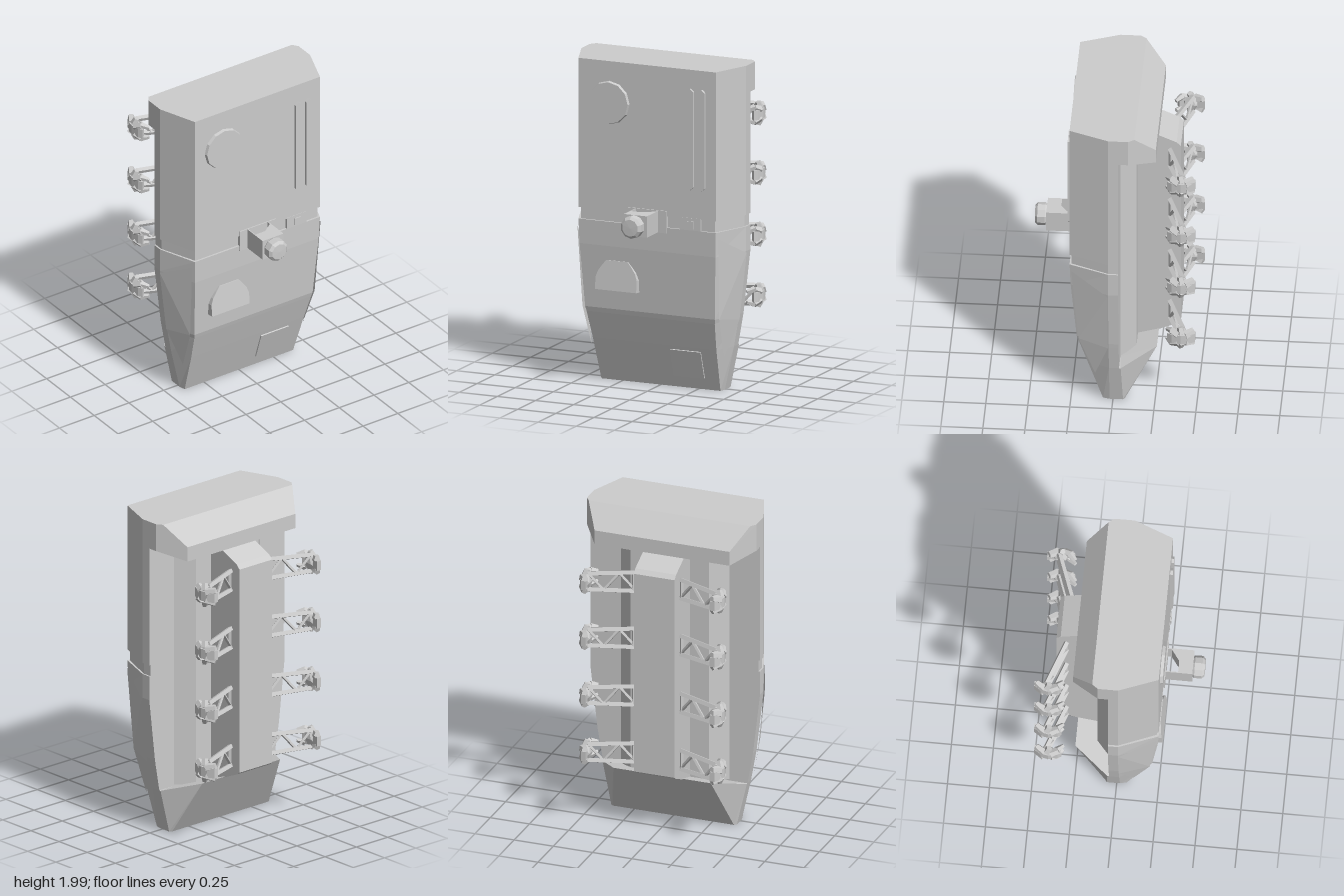
import * as THREE from 'three';

const grey = new THREE.MeshStandardMaterial({ color: 0xcccccc, flatShading: true });
grey.name = 'light grey';
const greySheet = new THREE.MeshStandardMaterial({ color: 0xcccccc, flatShading: true, side: THREE.DoubleSide });
greySheet.name = 'light grey sheet';

function add(parent, name, geometry, x = 0, y = 0, z = 0, material = grey) {
  const mesh = new THREE.Mesh(geometry, material);
  mesh.name = name;
  mesh.position.set(x, y, z);
  parent.add(mesh);
  return mesh;
}

function triangles(positions) {
  const g = new THREE.BufferGeometry();
  g.setAttribute('position', new THREE.Float32BufferAttribute(positions, 3));
  g.computeVertexNormals();
  return g;
}

// Straight bar between two points
function bar(parent, name, a, b, r0, r1 = r0, sides = 4) {
  const dir = b.clone().sub(a);
  const m = add(parent, name, new THREE.CylinderGeometry(r1, r0, dir.length(), sides));
  m.position.copy(a).addScaledVector(dir, 0.5);
  m.quaternion.setFromUnitVectors(new THREE.Vector3(0, 1, 0), dir.normalize());
  return m;
}

function polygon(points, depth) {
  const s = new THREE.Shape(points.map(([x, y]) => new THREE.Vector2(x, y)));
  return new THREE.ExtrudeGeometry(s, { depth, bevelEnabled: false });
}

// Upright prism from [x, z] plan points
function prism(plan, height) {
  const g = polygon(plan.map(([x, z]) => [x, -z]), height);
  g.rotateX(-Math.PI / 2);
  return g;
}

// Hull cross-sections: y, front x, front z, side x, side back z, back x, back z, back y
const sections = [
  [0.01, 0.39, 0.06, 0.40, -0.06, 0.385, -0.07],
  [0.28, 0.405, 0.15, 0.46, -0.05, 0.31, -0.255, 0.345],
  [0.28, 0.405, 0.15, 0.46, -0.04, 0.34, -0.04],
  [0.45, 0.42, 0.205, 0.49, -0.04, 0.34, -0.04],
  [0.48, 0.425, 0.214, 0.495, -0.04, 0.34, -0.04],
  [0.87, 0.445, 0.249, 0.54, -0.04, 0.34, -0.04],
  [1.02, 0.45, 0.255, 0.54, -0.04, 0.34, -0.04],
  [1.02, 0.44, 0.243, 0.53, -0.04, 0.34, -0.04],
  [1.09, 0.44, 0.243, 0.53, -0.04, 0.34, -0.04],
  [1.09, 0.45, 0.255, 0.54, -0.04, 0.34, -0.04],
  [1.83, 0.45, 0.255, 0.54, -0.04, 0.34, -0.04],
  [1.83, 0.45, 0.255, 0.54, -0.10, 0.43, -0.257, 1.78],
  [1.87, 0.45, 0.255, 0.54, -0.10, 0.43, -0.257],
  [2.00, 0.45, 0.255, 0.54, -0.10, 0.515, -0.135],
];

function hullGeometry() {
  const rings = sections.map(([y, fx, fz, sx, sbz, bx, bz, by = y]) => {
    const half = [[fx, y, fz], [sx, y, 0.02], [sx, y, sbz], [bx, by, bz]];
    return [...half, ...half.slice().reverse().map(([x, py, z]) => [-x, py, z])];
  });
  const out = [];
  const n = rings[0].length;
  for (let r = 0; r < rings.length - 1; r++) {
    const a = rings[r], b = rings[r + 1];
    for (let i = 0; i < n; i++) {
      const j = (i + 1) % n;
      out.push(...a[i], ...a[j], ...b[j], ...a[i], ...b[j], ...b[i]);
    }
  }
  const top = rings[rings.length - 1], low = rings[0];
  for (let i = 1; i < n - 1; i++) {
    out.push(...top[0], ...top[i], ...top[i + 1]);
    out.push(...low[0], ...low[i + 1], ...low[i]);
  }
  return triangles(out);
}

// Truss arm with a knuckled claw, built for the +x side
function makeArm() {
  const arm = new THREE.Group();
  const V = (x, y, z) => new THREE.Vector3(x, y, z);
  const at = (t, y) => V(0.145 + 0.265 * t, y, -0.323 - 0.097 * t);
  for (const y of [-0.06, 0.06]) bar(arm, 'armRail', at(0, y), at(1, y * 0.85), 0.017);
  for (let i = 0; i < 3; i++) {
    const s = i % 2 ? -1 : 1;
    bar(arm, 'armBrace', at(i / 3, -0.055 * s), at((i + 1) / 3, 0.055 * s), 0.01);
  }
  bar(arm, 'armPost', at(0.03, -0.06), at(0.03, 0.06), 0.012);

  // Curved cuff across the end of the arm
  const cuff = [[0.395, -0.49], [0.425, -0.49], [0.447, -0.45], [0.455, -0.405], [0.445, -0.35], [0.43, -0.325],
    [0.41, -0.34], [0.42, -0.38], [0.405, -0.43]];
  add(arm, 'clawCuff', prism(cuff, 0.06), 0, -0.03, 0);
  const knuckle = add(arm, 'clawKnuckle', new THREE.IcosahedronGeometry(0.05, 0), 0.42, 0, -0.41);
  knuckle.scale.set(0.7, 1.25, 1.1);
  for (const y of [-0.04, 0.04]) {
    bar(arm, 'clawFinger', V(0.435, y * 0.6, -0.43), V(0.405, y, -0.48), 0.028, 0.02, 5);
    bar(arm, 'clawFinger', V(0.435, y * 0.6, -0.39), V(0.42, y * 1.1, -0.345), 0.027, 0.02, 5);
    bar(arm, 'clawTip', V(0.42, y * 1.1, -0.355), V(0.385, y * 0.8, -0.32), 0.022, 0.012, 5);
    bar(arm, 'clawThumb', V(0.43, y * 0.8, -0.41), V(0.42, y * 1.75, -0.40), 0.026, 0.018, 5);
  }
  return arm;
}

export function createModel() {
  const model = new THREE.Group();
  model.name = 'armouredPack';
  add(model, 'hull', hullGeometry());

  // Raised bed in the back recess, with the spine box on it
  const bed = prism([[-0.35, -0.03], [0.35, -0.03], [0.345, -0.04], [0.25, -0.13], [-0.25, -0.13], [-0.345, -0.04]], 1.53);
  add(model, 'spineBed', bed, 0, 0.29, 0);
  const spine = polygon([[0.12, 0.28], [0.365, 0.39], [0.385, 0.405], [0.385, 1.69], [0.36, 1.715], [0.12, 1.82]], 0.26);
  spine.rotateY(Math.PI / 2);
  add(model, 'spine', spine, -0.13, 0, 0);

  // Lower side armour
  const p = [[0.44, 0.48, 0.198], [0.454, 0.98, 0.24], [0.54, 0.86, 0.02], [0.49, 0.45, 0.02], [0.425, 0.22, 0.1]];
  for (const side of [1, -1]) {
    const q = p.map(([x, y, z]) => [side * Math.min(x + 0.008, 0.545), y, z + 0.004]);
    const out = [];
    for (let i = 1; i < 4; i++) {
      const tri = side > 0 ? [q[0], q[i + 1], q[i]] : [q[0], q[i], q[i + 1]];
      out.push(...tri.flat());
    }
    add(model, 'sideArmour', triangles(out), 0, 0, 0, greySheet);
  }

  // Round cover and the two long ribs on the upper front
  const cover = new THREE.CylinderGeometry(0.127, 0.133, 0.02, 12);
  cover.rotateX(Math.PI / 2);
  add(model, 'roundCover', cover, -0.247, 1.748, 0.263);
  for (const x of [0.288, 0.362]) {
    const rib = polygon([[-0.021, 0.018], [0, 0], [0.021, 0.018], [0.021, 0.6], [0, 0.618], [-0.021, 0.6]], 0.018);
    add(model, 'frontRib', rib, x, 1.268, 0.253);
  }

  // Lamp and its bracket across the groove
  add(model, 'lampBase', new THREE.BoxGeometry(0.26, 0.135, 0.03), 0, 1.055, 0.247);
  const block = prism([[-0.075, 0.42], [0.075, 0.42], [0.075, 0.28], [0, 0.335], [-0.075, 0.335]].reverse(), 0.13);
  add(model, 'lampBlock', block, 0, 0.99, 0);
  for (const x of [-0.0725, 0.0725]) {
    add(model, 'lampBracket', new THREE.BoxGeometry(0.006, 0.13, 0.17), x, 1.055, 0.335);
  }
  const lens = new THREE.LatheGeometry(
    [[0, -0.04], [0.055, -0.04], [0.068, -0.02], [0.068, 0.025], [0.052, 0.04], [0, 0.042]].map(([x, y]) => new THREE.Vector2(x, y)), 10);
  lens.rotateX(Math.PI / 2);
  add(model, 'lampLens', lens, -0.003, 1.055, 0.45);

  // Latch in the groove
  add(model, 'latchPlate', new THREE.BoxGeometry(0.14, 0.075, 0.02), 0.282, 1.058, 0.247);
  add(model, 'latchButton', new THREE.BoxGeometry(0.045, 0.045, 0.012), 0.287, 1.053, 0.257);

  // Arched hood and square hatch on the lower front
  const hood = polygon([[-0.135, 0], [0.135, 0], [0.135, 0.075], [0.12, 0.115], [0.095, 0.15], [0.07, 0.18],
    [-0.07, 0.18], [-0.095, 0.15], [-0.12, 0.115], [-0.135, 0.075]], 0.07);
  add(model, 'hood', hood, -0.2, 0.597, 0.2).rotation.x = -0.11;
  add(model, 'hatch', new THREE.BoxGeometry(0.2, 0.18, 0.014), 0.2, 0.17, 0.115).rotation.x = 0.315;

  // Four arms on each side of the spine
  for (const y of [0.5, 0.87, 1.245, 1.61]) {
    for (const side of [1, -1]) {
      const arm = makeArm();
      arm.name = side > 0 ? 'leftArm' : 'rightArm';
      arm.position.y = y;
      arm.scale.x = side;
      model.add(arm);
    }
  }
  return model;
}
